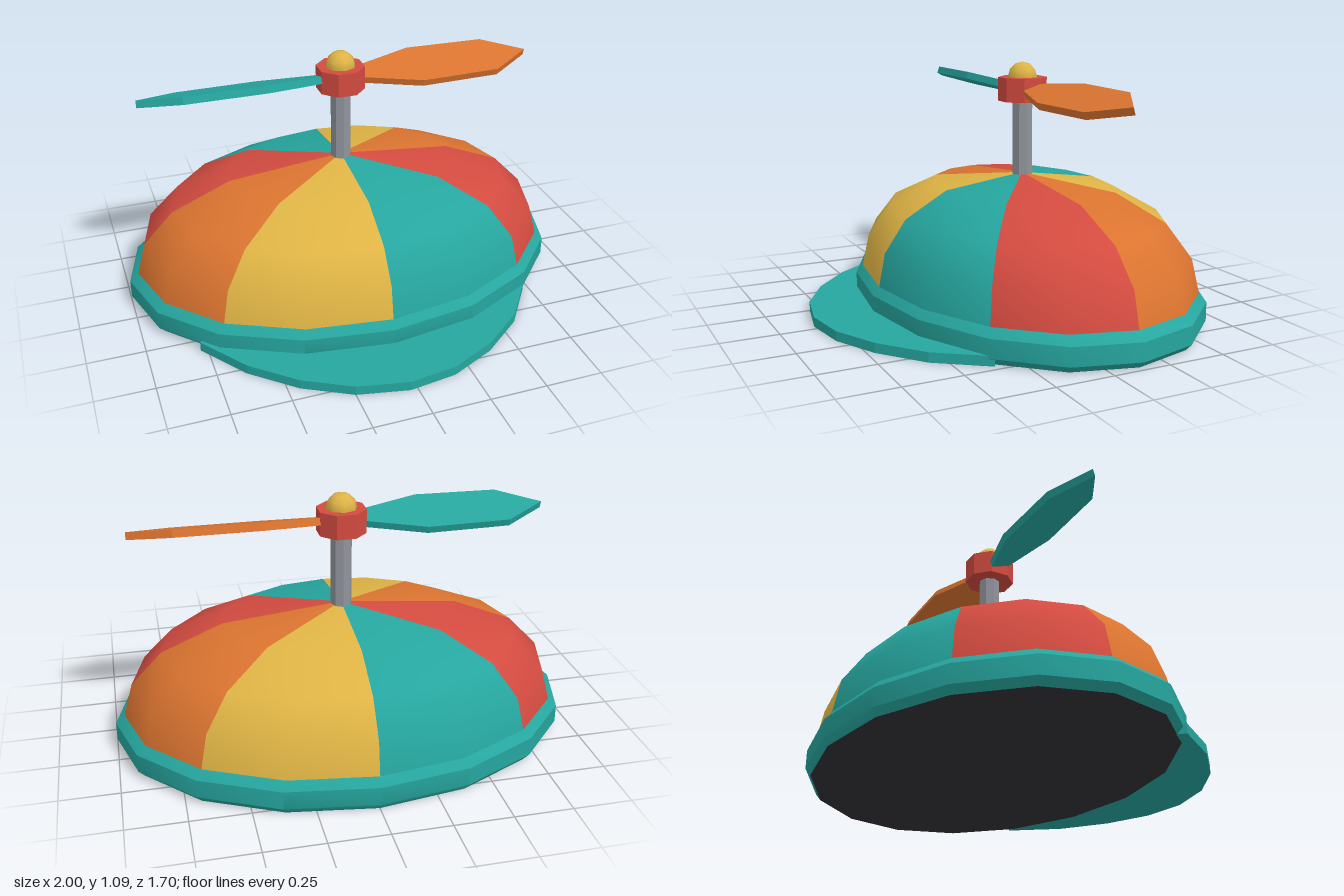
import * as THREE from 'three';
import { toCreasedNormals } from 'three/addons/utils/BufferGeometryUtils.js';

const mat = (name, color, extra = {}) => {
  const m = new THREE.MeshStandardMaterial({ color, ...extra });
  m.name = name;
  return m;
};

const V2 = (p) => new THREE.Vector2(p[0], p[1]);

export function createModel() {
  const teal = mat('teal', 0x26a69f);
  const yellow = mat('yellow', 0xdfb445);
  const orange = mat('orange', 0xdb7430);
  const red = mat('red', 0xd34b40);
  const grey = mat('grey', 0x90959c);
  const dark = mat('dark lining', 0x333236);

  const model = new THREE.Group();
  model.name = 'propellerCap';
  const CZ = -0.13;    // centre of the crown
  const DEPTH = 0.72;  // oval ratio of the crown
  const SIDES = 16;

  const add = (name, geo, material, y = 0, parent = model) => {
    const mesh = new THREE.Mesh(geo, material);
    mesh.name = name;
    mesh.position.y = y;
    parent.add(mesh);
    return mesh;
  };
  // Flat outline in x/z, thickened downwards from y = 0
  const plate = (points, depth) =>
    new THREE.ExtrudeGeometry(new THREE.Shape(points.map(V2)), { depth, bevelEnabled: false })
      .rotateX(Math.PI / 2);

  // Crown: oval dome of eight wedge panels, two segments each
  const dome = new THREE.LatheGeometry(
    [[0.965, 0.13], [0.92, 0.29], [0.785, 0.43], [0.52, 0.54], [0, 0.592]].map(V2), SIDES);
  dome.scale(1, 1, DEPTH);
  const perPanel = dome.index.count / 8;
  for (let i = 0; i < 8; i++) dome.addGroup(i * perPanel, perPanel, i % 4);
  add('crownPanels', dome, [teal, red, orange, yellow]).position.z = CZ;

  // Band round the rim, with chamfered edges
  const band = new THREE.LatheGeometry(
    [[0.97, 0], [1, 0.03], [1, 0.11], [0.96, 0.146]].map(V2), SIDES);
  band.scale(1, 1, DEPTH);
  add('band', toCreasedNormals(band, 0.62), teal).position.z = CZ;

  // Underside, its corners aligned with the band
  const base = new THREE.CircleGeometry(0.97, SIDES).rotateX(Math.PI / 2).scale(1, 1, DEPTH);
  add('underside', base, dark).position.z = CZ;

  // Visor: outer curve, closed along the rim of the crown
  const visor = [[-0.75, 0.29], [-0.78, 0.32], [-0.63, 0.53], [-0.45, 0.69], [-0.25, 0.8],
    [-0.03, 0.845], [0.18, 0.815], [0.38, 0.72], [0.57, 0.57], [0.72, 0.36]];
  for (let i = 2; i <= 6; i++) {
    const t = i * Math.PI / 8;
    visor.push([0.97 * Math.cos(t), CZ + 0.97 * DEPTH * Math.sin(t)]);
  }
  add('visor', plate(visor, 0.042), teal, 0.042);

  // Propeller: rod, hub, cap and two pitched blades
  const propeller = new THREE.Group();
  propeller.name = 'propeller';
  propeller.position.z = CZ;
  model.add(propeller);

  const rod = new THREE.CylinderGeometry(0.046, 0.046, 0.4, 8).toNonIndexed();
  rod.computeVertexNormals();
  add('rod', rod, grey, 0.75, propeller);

  const hub = new THREE.CylinderGeometry(0.108, 0.108, 0.105, 8).rotateY(Math.PI / 8);
  add('hub', toCreasedNormals(hub, 0.6), red, 0.968, propeller);

  const cap = new THREE.SphereGeometry(0.068, 8, 3, 0, Math.PI * 2, 0, Math.PI / 2);
  add('hubCap', cap, yellow, 1.02, propeller);

  const outline = [[0.05, -0.03], [0.35, -0.115], [0.71, -0.108], [0.89, 0],
    [0.71, 0.108], [0.35, 0.115], [0.05, 0.03]];
  const blade = (name, material, turn) => {
    const geo = plate(outline, 0.032).translate(0, 0.016, 0).rotateX(0.31).rotateY(turn);
    add(name, geo, material, 0.968, propeller);
  };
  blade('leftBlade', orange, 0);
  blade('rightBlade', teal, Math.PI);

  return model;
}
